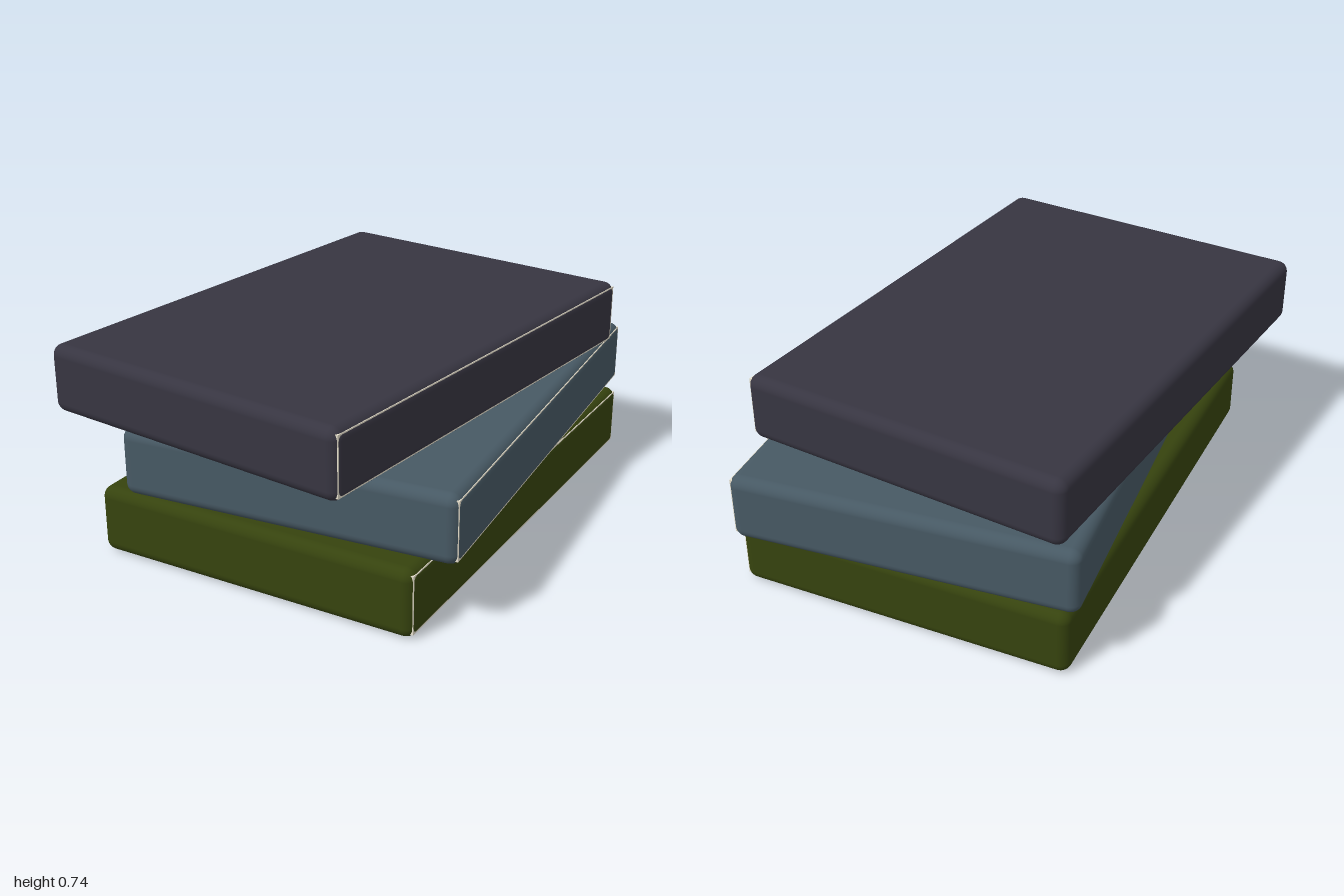
import * as THREE from 'three';
import { RoundedBoxGeometry } from 'three/addons/geometries/RoundedBoxGeometry.js';

const WIDTH = 1.235, HEIGHT = 0.248, LENGTH = 1.775, RADIUS = 0.04;

function material(name, color) {
  const m = new THREE.MeshStandardMaterial({ color });
  m.name = name;
  return m;
}

export function createModel() {
  const model = new THREE.Group();
  model.name = 'bookStack';

  const paper = material('ivory paper', 0xe6dfcc);
  const coverGeometry = new RoundedBoxGeometry(WIDTH, HEIGHT, LENGTH, 5, RADIUS);

  // The page block reaches almost to the +x face, so only its sharp
  // edges peek out of the rounded cover there
  const inset = 0.018, gap = 0.004, pageWidth = WIDTH - 0.06;
  const pagesGeometry = new THREE.BoxGeometry(pageWidth, HEIGHT - 2 * inset, LENGTH - 2 * inset);
  pagesGeometry.translate(WIDTH / 2 - gap - pageWidth / 2, 0, 0);

  // Books from bottom to top, each turned a little
  const books = [
    { name: 'bottomBook', cover: material('olive green', 0x36430e), x: 0.033, z: -0.028, turn: 0 },
    { name: 'middleBook', cover: material('slate blue', 0x475964), x: 0.072, z: -0.068, turn: 0.08 },
    { name: 'topBook', cover: material('charcoal violet', 0x373541), x: -0.045, z: 0.049, turn: -0.118 },
  ];

  books.forEach(({ name, cover, x, z, turn }, i) => {
    const book = new THREE.Group();
    book.name = name;
    const coverMesh = new THREE.Mesh(coverGeometry, cover);
    coverMesh.name = 'cover';
    const pages = new THREE.Mesh(pagesGeometry, paper);
    pages.name = 'pages';
    book.add(coverMesh, pages);
    book.position.set(x, HEIGHT * (i + 0.5), z);
    book.rotation.y = turn;
    model.add(book);
  });

  return model;
}
